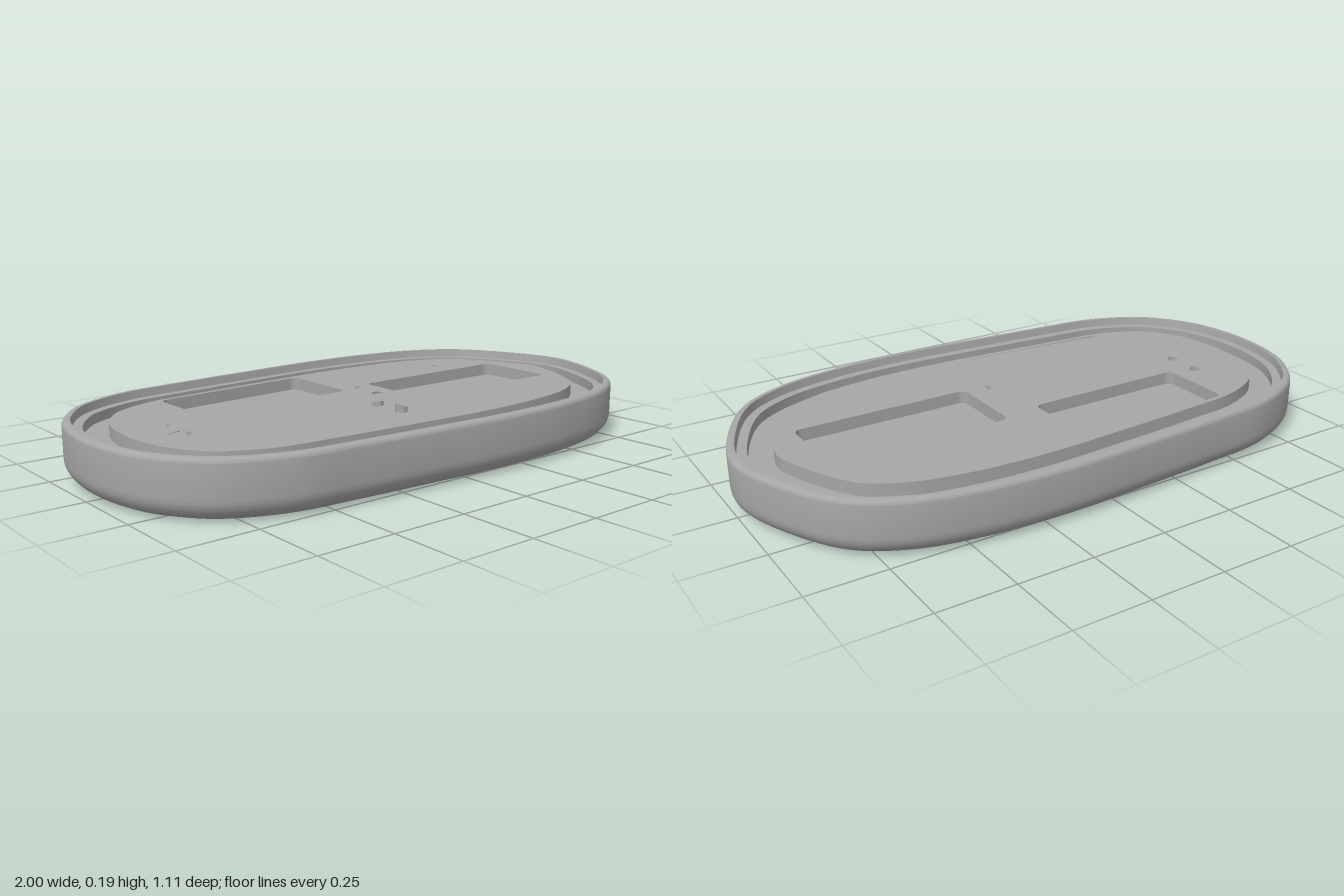
import * as THREE from 'three';
import { toCreasedNormals } from 'three/addons/utils/BufferGeometryUtils.js';

const SEGMENTS = 144;
const FLOOR = 0.125, PLATE_TOP = 0.167, TOP = 0.185;

// Back half of the outline as (x, z); the front half mirrors it
const half = [
  [-1, 0], [-0.97, -0.2], [-0.915, -0.31], [-0.82, -0.415], [-0.63, -0.5], [-0.4, -0.525],
  [-0.13, -0.543], [0.18, -0.557], [0.46, -0.54], [0.67, -0.49], [0.83, -0.39], [0.945, -0.2], [1, 0],
];
const mirrored = half.slice(1, -1).reverse().map(([x, z]) => [x, -z]);
const outline = new THREE.CatmullRomCurve3(
  [...half, ...mirrored].map(([x, z]) => new THREE.Vector3(x, 0, z)), true);

// Ring of [x, z] points moved inward from the outline
function insetRing(inset) {
  const ring = [];
  for (let i = 0; i < SEGMENTS; i++) {
    const p = outline.getPointAt(i / SEGMENTS), t = outline.getTangentAt(i / SEGMENTS);
    ring.push([p.x - t.z * inset, p.z + t.x * inset]);
  }
  return ring;
}

// Sweep a profile of [inset, y] around the outline; a null inset closes at the middle
function sweep(profile) {
  const positions = [], index = [];
  profile.forEach(([inset, y], j) => {
    const ring = insetRing(inset ?? 0);
    ring.forEach(([x, z], i) => {
      positions.push(inset === null ? 0 : x, y, inset === null ? 0 : z);
      if (j === profile.length - 1) return;
      const next = (i + 1) % SEGMENTS;
      const a = j * SEGMENTS + i, c = j * SEGMENTS + next;
      const b = a + SEGMENTS, d = c + SEGMENTS;
      if (inset !== null) index.push(a, b, c);
      else index.push(a, b, d);
      if (inset !== null && profile[j + 1][0] !== null) index.push(c, b, d);
    });
  });
  const geometry = new THREE.BufferGeometry();
  geometry.setAttribute('position', new THREE.Float32BufferAttribute(positions, 3));
  geometry.setIndex(index);
  return toCreasedNormals(geometry, 0.6);
}

// Elliptical quarter round, from angle a0 to a1
function arc(cx, cy, rx, ry, a0, a1, steps) {
  return Array.from({ length: steps + 1 }, (_, i) => {
    const a = a0 + (a1 - a0) * i / steps;
    return [cx - Math.cos(a) * rx, cy + Math.sin(a) * ry];
  });
}

// Hole with rounded corners through the given corner points
function roundedHole(corners, r) {
  const path = new THREE.Path();
  const pts = corners.map(([x, y]) => new THREE.Vector2(x, y));
  pts.forEach((p, i) => {
    const before = pts[(i + pts.length - 1) % pts.length], after = pts[(i + 1) % pts.length];
    const start = p.clone().add(before.clone().sub(p).setLength(r));
    const end = p.clone().add(after.clone().sub(p).setLength(r));
    if (i === 0) path.moveTo(start.x, start.y);
    else path.lineTo(start.x, start.y);
    path.quadraticCurveTo(p.x, p.y, end.x, end.y);
  });
  path.closePath();
  return path;
}

function roundHole(x, y, r) {
  const path = new THREE.Path();
  path.absarc(x, y, r, 0, Math.PI * 2, true);
  return path;
}

export function createModel() {
  const group = new THREE.Group();
  const grey = new THREE.MeshStandardMaterial({ color: 0xa6a6a6 });
  grey.name = 'grey';
  const add = (name, geometry) => {
    const mesh = new THREE.Mesh(geometry, grey);
    mesh.name = name;
    group.add(mesh);
    return mesh;
  };

  // Tray: rounded underside, wall, thin rim, inner ledge and sunken floor
  add('tray', sweep([
    [null, 0],
    ...arc(0.075, 0.07, 0.075, 0.07, -Math.PI / 2, 0, 8),
    ...arc(0.016, TOP - 0.016, 0.016, 0.016, 0, Math.PI / 2, 5),
    [0.026, TOP], [0.03, 0.158], [0.06, 0.158], [0.06, FLOOR], [null, FLOOR],
  ]));

  // Raised plate with pockets and round sockets cut through to the floor
  const shape = new THREE.Shape(insetRing(0.138).map(([x, z]) => new THREE.Vector2(x, -z)));
  shape.holes.push(roundedHole([[0.145, -0.142], [0.757, -0.142], [0.757, 0.142], [0.145, 0.142]], 0.03));
  for (const s of [-1, 1]) {
    shape.holes.push(roundedHole(
      [[-0.557, s * 0.098], [0.015, s * 0.098], [0.015, s * 0.393], [-0.557, s * 0.36]], 0.03));
    shape.holes.push(roundHole(-0.725, s * 0.063, 0.032));
    [0.187, 0.31, 0.433, 0.556].forEach((x, i) =>
      shape.holes.push(roundHole(x, s * 0.222, i % 2 ? 0.032 : 0.021)));
  }
  for (const x of [-0.645, 0.075])
    for (const z of [-0.123, 0, 0.123]) shape.holes.push(roundHole(x, z, 0.021));

  const plate = new THREE.ExtrudeGeometry(shape, {
    depth: PLATE_TOP - FLOOR + 0.002, bevelEnabled: false, curveSegments: 10,
  });
  plate.rotateX(-Math.PI / 2);
  plate.translate(0, FLOOR - 0.002, 0);
  add('pocketPlate', toCreasedNormals(plate, 0.7));

  return group;
}
